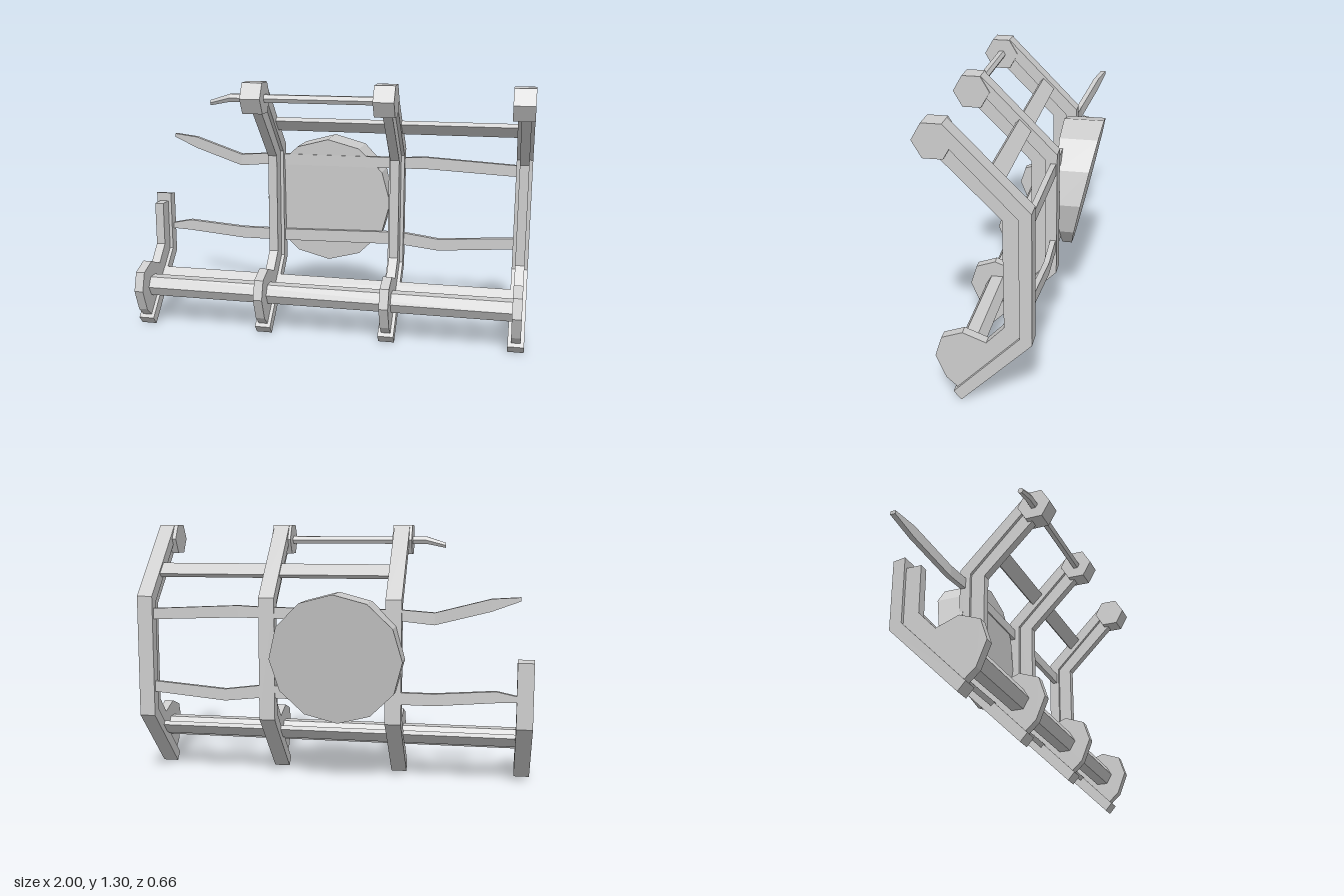
import * as THREE from 'three';

const grey = new THREE.MeshStandardMaterial({ color: 0xcccccc, flatShading: true });
grey.name = 'plain grey';

function addMesh(parent, name, geometry) {
  const mesh = new THREE.Mesh(geometry, grey);
  mesh.name = name;
  parent.add(mesh);
  return mesh;
}

// Side profile of [z, y] points given thickness along x, centred on x
function sidePlate(points, width, x) {
  const shape = new THREE.Shape(points.map(([z, y]) => new THREE.Vector2(z, y)));
  const g = new THREE.ExtrudeGeometry(shape, { depth: width, bevelEnabled: false });
  g.translate(0, 0, -width / 2);
  g.rotateY(-Math.PI / 2);
  return g.translate(x, 0, 0);
}

// Six-sided bar along x
function hexBar(radius, x0, x1, y, z) {
  const g = new THREE.CylinderGeometry(radius, radius, x1 - x0, 6);
  g.rotateZ(Math.PI / 2);
  return g.translate((x0 + x1) / 2, y, z);
}

// Skin over rings of corners that advance along +x
function loft(rings) {
  const pos = [];
  const n = rings[0].length;
  const tri = (a, b, c) => pos.push(...a, ...b, ...c);
  for (let i = 0; i < rings.length - 1; i++) {
    for (let j = 0; j < n; j++) {
      const k = (j + 1) % n;
      const a = rings[i][j], b = rings[i + 1][j], c = rings[i + 1][k], d = rings[i][k];
      tri(a, b, c);
      tri(a, c, d);
    }
  }
  const first = rings[0], last = rings[rings.length - 1];
  for (let j = 1; j < n - 1; j++) {
    tri(first[0], first[j], first[j + 1]);
    tri(last[0], last[j + 1], last[j]);
  }
  const g = new THREE.BufferGeometry();
  g.setAttribute('position', new THREE.Float32BufferAttribute(pos, 3));
  g.computeVertexNormals();
  return g;
}

// Flat strip through [x, y, z, halfHeight] stations
function strip(stations, t = 0.013) {
  return loft(stations.map(([x, y, z, h]) => [
    [x, y - h, z + t], [x, y + h, z + t], [x, y + h, z - t], [x, y - h, z - t],
  ]));
}

// Thin six-sided rod through [x, y, z, radius] stations
function rod(stations) {
  return loft(stations.map(([x, y, z, r]) => Array.from({ length: 6 }, (_, k) => {
    const a = k * Math.PI / 3;
    return [x, y + r * Math.sin(a), z + r * Math.cos(a)];
  })));
}

function makeRib(x, broken) {
  const rib = new THREE.Group();
  rib.name = broken ? 'brokenRib' : 'rib';
  // Wide back flange
  const flangeTop = broken
    ? [[-0.10, 0.655], [-0.155, 0.645]]
    : [[-0.10, 0.91], [0.175, 1.195], [0.2, 1.3], [-0.155, 0.94]];
  addMesh(rib, 'flange', sidePlate(
    [[0.165, 0], [0.2, 0.04], [-0.10, 0.345], ...flangeTop, [-0.155, 0.32]], 0.08, x));
  // Narrow inner web with its rounded foot
  const webTop = broken
    ? [[-0.03, 0.61], [-0.10, 0.61]]
    : [[-0.03, 0.895], [0.235, 1.16], [0.175, 1.195], [-0.10, 0.91]];
  addMesh(rib, 'web', sidePlate(
    [[0.185, 0.055], [0.235, 0.10], [0.28, 0.21], [0.25, 0.305], [0.155, 0.34],
      [0.05, 0.30], [-0.03, 0.385], ...webTop, [-0.10, 0.345]], 0.046, x));
  // Six-sided head
  if (!broken) {
    const hx = x > 0.9 ? 0.95 : x - 0.004;
    addMesh(rib, 'head', hexBar(0.086, hx - 0.05, hx + 0.05, 1.225, 0.244));
  }
  return rib;
}

export function createModel() {
  const model = new THREE.Group();
  model.name = 'brokenFrame';

  [-0.96, -0.32, 0.32, 0.96].forEach((x, i) => model.add(makeRib(x, i === 0)));

  // Lower six-sided rail
  addMesh(model, 'lowerRail', hexBar(0.057, -0.96, 0.96, 0.21, 0.145));

  // Sloping slats set between the flanges
  const slat = (name, x0, x1, y, tilt) => {
    const g = new THREE.BoxGeometry(x1 - x0, 0.077, 0.025);
    g.rotateX(tilt);
    addMesh(model, name, g.translate((x0 + x1) / 2, y, 0.003));
  };
  slat('lowerSlat', -0.96, 0.96, 0.227, -Math.PI / 4);
  slat('upperSlat', -0.32, 0.96, 1.068, Math.PI / 4);

  // Thin top rod with a bent free end
  addMesh(model, 'topRod', rod([
    [-0.545, 1.196, 0.244, 0.015], [-0.445, 1.222, 0.244, 0.022], [0.3, 1.222, 0.244, 0.022],
  ]));

  // Bent strips along the back
  addMesh(model, 'upperStrip', strip([
    [-0.925, 0.957, -0.222, 0.009], [-0.79, 0.925, -0.195, 0.03], [-0.52, 0.85, -0.14, 0.03],
    [-0.36, 0.863, -0.137, 0.028], [0.32, 0.865, -0.137, 0.028], [0.47, 0.87, -0.137, 0.03],
    [0.95, 0.848, -0.122, 0.028],
  ]));
  addMesh(model, 'lowerStrip', strip([
    [-0.93, 0.466, -0.14, 0.014], [-0.82, 0.475, -0.14, 0.028], [-0.52, 0.451, -0.138, 0.03],
    [-0.3, 0.452, -0.137, 0.03], [0.34, 0.466, -0.137, 0.032], [0.54, 0.442, -0.137, 0.03],
    [0.95, 0.475, -0.125, 0.028],
  ]));

  // Twelve-sided disc with a slanted back face
  const outline = new THREE.Shape(Array.from({ length: 12 }, (_, k) => {
    const a = k * Math.PI / 6;
    return new THREE.Vector2(-0.047 + 0.33 * Math.cos(a), 0.648 + 0.326 * Math.sin(a));
  }));
  const disc = new THREE.ExtrudeGeometry(outline, { depth: 1, bevelEnabled: false });
  const p = disc.attributes.position;
  for (let i = 0; i < p.count; i++) {
    const rise = p.getY(i) - 0.322;
    p.setZ(i, p.getZ(i) > 0.5 ? -0.15 + 0.038 * rise : -0.187 - 0.212 * rise);
  }
  disc.computeVertexNormals();
  addMesh(model, 'disc', disc);

  return model;
}
